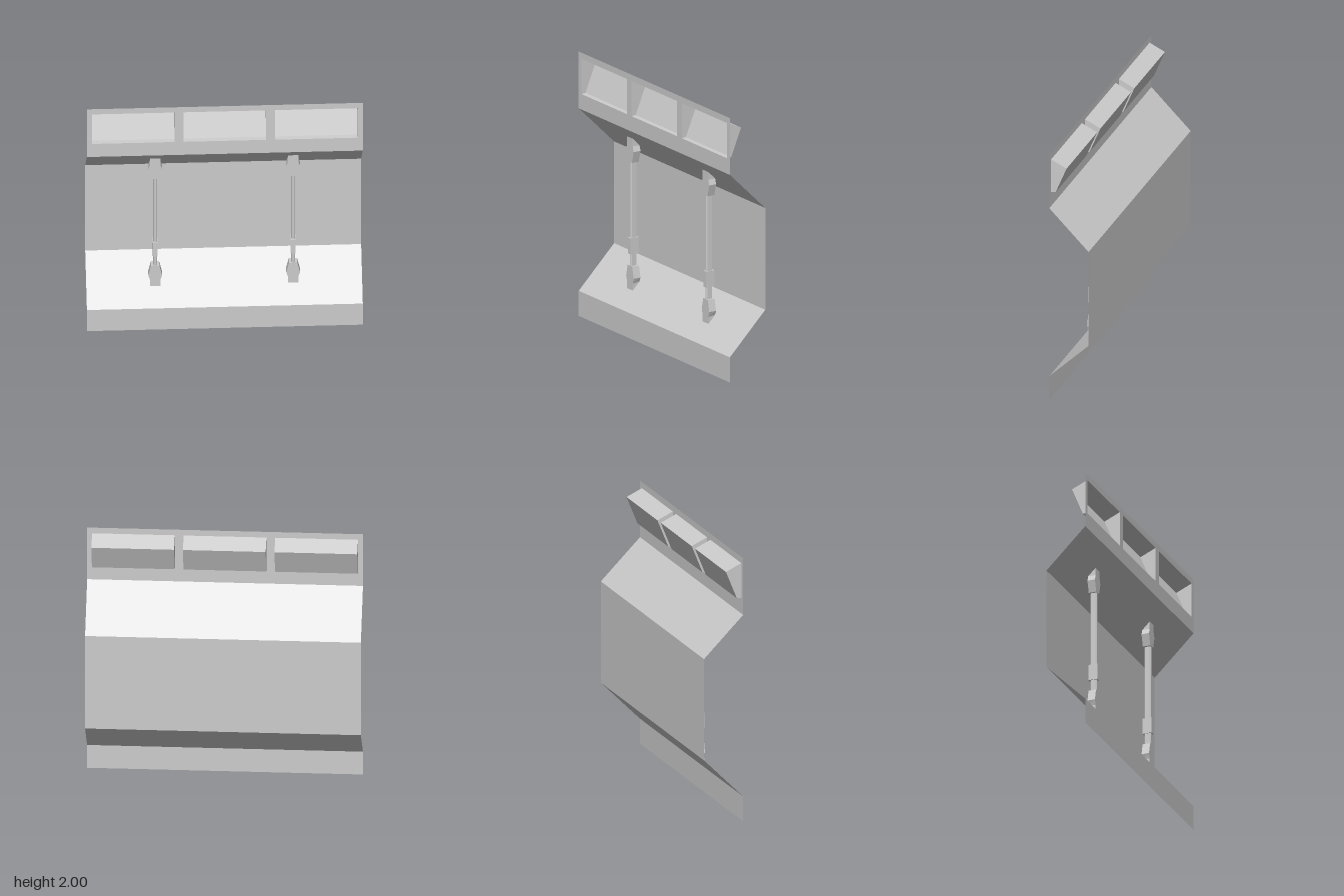
import * as THREE from 'three';
import { mergeGeometries } from 'three/addons/utils/BufferGeometryUtils.js';

const solid = new THREE.MeshStandardMaterial({ color: 0xcccccc, flatShading: true });
const sheet = new THREE.MeshStandardMaterial({ color: 0xcccccc, flatShading: true, side: THREE.DoubleSide });

const FRONT = 0.153, BACK = -0.153;
const LOW = 0.19, LOW_IN = 0.5, HIGH_IN = 1.27, HIGH = 1.57;

function add(parent, name, geometry, material) {
  const mesh = new THREE.Mesh(geometry, material);
  mesh.name = name;
  parent.add(mesh);
  return mesh;
}

const shapeOf = (points) => new THREE.Shape(points.map(([x, y]) => new THREE.Vector2(x, y)));

// Folded sheet: a [z, y] profile swept along x from x0 to x1
function foldedSheet(profile, x0, x1) {
  const pos = [], uv = [];
  for (let i = 0; i < profile.length - 1; i++) {
    const [za, ya] = profile[i], [zb, yb] = profile[i + 1];
    pos.push(x0, ya, za, x1, ya, za, x1, yb, zb, x0, ya, za, x1, yb, zb, x0, yb, zb);
    uv.push(0, 0, 1, 0, 1, 1, 0, 0, 1, 1, 0, 1);
  }
  const g = new THREE.BufferGeometry();
  g.setAttribute('position', new THREE.Float32BufferAttribute(pos, 3));
  g.setAttribute('uv', new THREE.Float32BufferAttribute(uv, 2));
  g.computeVertexNormals();
  return g;
}

// Open-fronted recess with a sloping roof and a leaning back
function recess(x0, x1) {
  const profile = [[FRONT, 1.687], [0.118, 1.69], [0.033, 1.9], [FRONT, 1.953]];
  const parts = [foldedSheet(profile, x0, x1)];
  for (const x of [x0, x1]) {
    const cheek = new THREE.ShapeGeometry(shapeOf(profile));
    cheek.rotateY(-Math.PI / 2).translate(x, 0, 0);
    parts.push(cheek.toNonIndexed());
  }
  return mergeGeometries(parts);
}

// Heights of the two sloping panels at depth z
const slope = (z, yFront, yBack) => yBack + (yFront - yBack) * (z - BACK) / (FRONT - BACK);

// Bracket: half outline [halfWidth, y], extruded in z and trimmed to the slopes
function bracket(half) {
  const outline = [...half, ...half.map(([w, y]) => [-w, y]).reverse()];
  const g = new THREE.ExtrudeGeometry(shapeOf(outline), { depth: 0.059, bevelEnabled: false });
  g.translate(0, 0, -0.022);
  const p = g.attributes.position;
  for (let i = 0; i < p.count; i++) {
    const z = p.getZ(i);
    p.setY(i, THREE.MathUtils.clamp(p.getY(i), slope(z, LOW, LOW_IN), slope(z, HIGH, HIGH_IN)));
  }
  g.computeVertexNormals();
  return g;
}

// Narrow bar with chamfered corners
function chamferedBar(w, d, c, height) {
  const s = shapeOf([[w, d - c], [w - c, d], [c - w, d], [-w, d - c],
    [-w, c - d], [c - w, -d], [w - c, -d], [w, c - d]]);
  return new THREE.ExtrudeGeometry(s, { depth: height, bevelEnabled: false }).rotateX(-Math.PI / 2);
}

export function createModel() {
  const model = new THREE.Group();
  model.name = 'wallPanel';

  // Folded wall
  add(model, 'wall', foldedSheet(
    [[FRONT, 0], [FRONT, LOW], [BACK, LOW_IN], [BACK, HIGH_IN], [FRONT, HIGH]], -1, 1), sheet);

  // Upper band with three openings and their recesses
  const band = shapeOf([[-1, HIGH], [1, HIGH], [1, 2], [-1, 2]]);
  for (const x of [-0.664, 0, 0.664]) {
    const a = x - 0.3, b = x + 0.3;
    band.holes.push(new THREE.Path([[a, 1.687], [a, 1.953], [b, 1.953], [b, 1.687]]
      .map(([u, v]) => new THREE.Vector2(u, v))));
    add(model, 'recess', recess(a, b), sheet);
  }
  add(model, 'upperBand', new THREE.ShapeGeometry(band).translate(0, 0, FRONT), sheet);

  // Two struts between the slopes
  for (const x of [-0.5, 0.5]) {
    const strut = new THREE.Group();
    strut.name = 'strut';
    strut.position.x = x;
    add(strut, 'rod', chamferedBar(0.0135, 0.026, 0.008, 0.79), solid).position.set(0, 0.483, 0.009);
    add(strut, 'collar', new THREE.BoxGeometry(0.036, 0.122, 0.072), solid).position.set(0, 0.638, 0.008);
    add(strut, 'upperBracket', bracket(
      [[0.026, 1.27], [0.05, 1.358], [0.037, 1.398], [0.037, 1.47]]), solid);
    add(strut, 'lowerBracket', bracket(
      [[0.037, 0.29], [0.037, 0.36], [0.05, 0.4], [0.03, 0.487]]), solid);
    model.add(strut);
  }
  return model;
}
